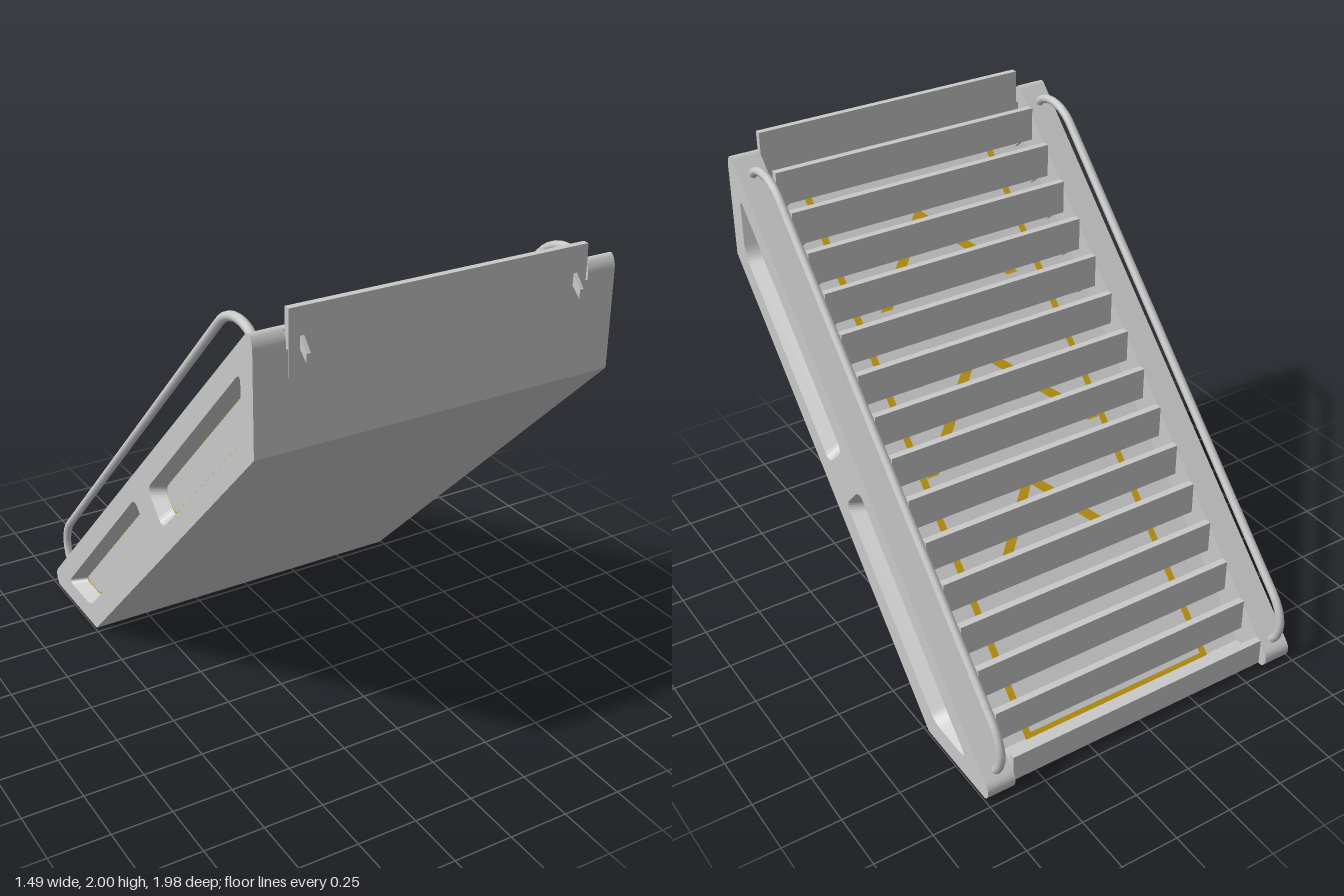
import * as THREE from 'three';

const grey = new THREE.MeshStandardMaterial({ color: 0xc9c9c9 });
grey.name = 'metal grey';
const yellow = new THREE.MeshStandardMaterial({ color: 0xc49a10 });
yellow.name = 'marking yellow';

// Polygon [z, y] inset by d (counter-clockwise corners)
function inset(poly, d) {
  const n = poly.length;
  const edge = (i) => {
    const [a, b] = [poly[i % n], poly[(i + 1) % n]];
    const l = Math.hypot(b[0] - a[0], b[1] - a[1]);
    const t = [(b[0] - a[0]) / l, (b[1] - a[1]) / l];
    return { p: [a[0] - t[1] * d, a[1] + t[0] * d], t };
  };
  return poly.map((_, i) => {
    const e = edge(i + n - 1), f = edge(i);
    const cross = e.t[0] * f.t[1] - e.t[1] * f.t[0];
    const k = ((f.p[0] - e.p[0]) * f.t[1] - (f.p[1] - e.p[1]) * f.t[0]) / cross;
    return [e.p[0] + e.t[0] * k, e.p[1] + e.t[1] * k];
  });
}

// Polygon corners rounded by r (one radius, or one per corner) into a list of points
function rounded(poly, r, steps = 6) {
  const n = poly.length, out = [];
  poly.forEach((p, i) => {
    const c = new THREE.Vector2(...p), rad = Array.isArray(r) ? r[i] : r;
    if (!rad) { out.push(c); return; }
    const toward = (q) => new THREE.Vector2(...q).sub(c).setLength(rad).add(c);
    const a = toward(poly[(i + n - 1) % n]), b = toward(poly[(i + 1) % n]);
    out.push(...new THREE.QuadraticBezierCurve(a, c, b).getPoints(steps));
  });
  return out;
}

const shapeOf = (pts, holes = []) => {
  const s = new THREE.Shape(pts);
  s.holes = holes.map((h) => new THREE.Path(h));
  return s;
};

// Side profile in (z, y), extruded from x towards -x
function extrudeSide(shape, x, depth) {
  return new THREE.ExtrudeGeometry(shape, { depth, bevelEnabled: false })
    .rotateY(-Math.PI / 2).translate(x, 0, 0);
}

function mirrorX(geo) {
  const g = geo.index ? geo.toNonIndexed() : geo.clone();
  g.scale(-1, 1, 1);
  for (const name of ['position', 'normal']) {
    const a = g.attributes[name].array;
    for (let i = 0; i < a.length; i += 9)
      for (let k = 0; k < 3; k++) [a[i + 3 + k], a[i + 6 + k]] = [a[i + 6 + k], a[i + 3 + k]];
  }
  return g;
}

// Sloped wall from a window's rim to its recessed panel
function recessWall(rim, floor, x0, x1) {
  const pos = [], n = rim.length;
  const add = (x, p) => pos.push(x, p.y, p.x);
  for (let i = 0; i < n; i++) {
    const j = (i + 1) % n;
    add(x0, rim[i]); add(x0, rim[j]); add(x1, floor[i]);
    add(x0, rim[j]); add(x1, floor[j]); add(x1, floor[i]);
  }
  const g = new THREE.BufferGeometry();
  g.setAttribute('position', new THREE.Float32BufferAttribute(pos, 3));
  g.computeVertexNormals();
  return g;
}

// Flat marking given in plan (x, z), laid onto the sloping floor
const FLOOR = 0.81;
function floorMark(pts, hole) {
  const flip = (l) => l.map(([x, z]) => new THREE.Vector2(x, -z));
  const g = new THREE.ShapeGeometry(shapeOf(flip(pts), hole ? [flip(hole)] : [])).rotateX(-Math.PI / 2);
  const p = g.attributes.position;
  for (let i = 0; i < p.count; i++) p.setY(i, p.getZ(i) + FLOOR + 0.006);
  g.computeVertexNormals();
  return g;
}

export function createModel() {
  const model = new THREE.Group();
  model.name = 'rampStair';
  const add = (name, geo, mat = grey) => {
    const m = new THREE.Mesh(geo, mat);
    m.name = name;
    model.add(m);
  };
  const addPair = (name, geo, mat) => {
    add(name + 'Right', geo, mat);
    add(name + 'Left', mirrorX(geo), mat);
  };

  // Side stringers with two recessed windows each
  const profile = rounded(
    [[0.95, 1.49], [0.95, 1.9], [0.925, 1.945], [-0.985, 0.055], [-0.96, 0], [-0.53, 0]],
    [0, 0.02, 0.03, 0.04, 0.02, 0]);
  const windows = [
    [[0.865, 1.52], [0.865, 1.775], [0.09, 0.99], [0.21, 0.87]],
    [[0.08, 0.75], [-0.04, 0.88], [-0.82, 0.09], [-0.58, 0.09]],
  ];
  const rims = windows.map((w) => rounded(w, 0.045));
  addPair('stringerCore', extrudeSide(shapeOf(profile), -0.62, 0.063));
  addPair('stringerFrame', extrudeSide(shapeOf(profile, rims), -0.683, 0.06));
  windows.forEach((w, i) => {
    const ring = (d) => rounded(inset(w, d), 0.04);
    addPair('windowRecess' + i, recessWall(rims[i], ring(0.026), -0.743, -0.683));
    // Thin outline, widest along the lower edge
    const inner = ring(0.03).map((p) => new THREE.Vector2(p.x - 0.002, p.y + 0.002));
    const line = new THREE.ShapeGeometry(shapeOf(ring(0.026), [inner]));
    addPair('windowOutline' + i, line.rotateY(-Math.PI / 2).translate(-0.686, 0, 0), yellow);
  });

  // Sloping floor with the front wall at its top end
  const floor = [[0.95, 1.49], [0.95, 1.86], [0.925, 1.86], [0.925, 0.925 + FLOOR],
    [0.02 - FLOOR, 0.02], [-0.93, 0.02], [-0.93, 0], [-0.53, 0]];
  add('floor', extrudeSide(shapeOf(rounded(floor, 0)), 0.62, 1.24));

  // Floor markings
  const box = (x, z0, z1) => [[-x, z0], [x, z0], [x, z1], [-x, z1]];
  add('floorBorder', floorMark(box(0.455, -0.8, 0.91), box(0.425, -0.782, 0.892)), yellow);
  for (const [w, z0, z1] of [[0.335, -0.375, -0.09], [0.425, -0.015, 0.325], [0.335, 0.485, 0.76]]) {
    add('chevron', floorMark([[-w, z0], [-w + 0.055, z0], [0, z1 - 0.044],
      [w - 0.055, z0], [w, z0], [0, z1]]), yellow);
  }

  // Upright step boards with small hooks at their lower edges
  const hook = shapeOf(rounded([[-0.01, 0.03], [-0.01, -0.02], [0.042, -0.065], [0.042, -0.03]], 0));
  for (let i = 0; i < 16; i++) {
    const last = i === 15, z = -0.93 + i * 0.1243;
    const top = last ? 2 : z + 1.065;
    const h = last ? 0.24 : i === 0 ? 0.12 : 0.145;
    const zc = last ? 0.9375 : z;
    add('stepBoard', new THREE.BoxGeometry(1.22, h, last ? 0.027 : 0.03).translate(0, top - h / 2, zc));
    if (i === 0) continue;
    for (const x of [-0.56, 0.56])
      add('stepHook', extrudeSide(hook, x + 0.008, 0.016)
        .translate(0, z + 0.945, last ? 0.9505 : z - 0.004));
  }

  // Bent handrails
  const rail = new THREE.CurvePath();
  const v = (z, y) => new THREE.Vector3(-0.683, y, z);
  rail.add(new THREE.CubicBezierCurve3(v(0.86, 1.85), v(0.85, 1.91), v(0.7, 1.95), v(0.6, 1.84)));
  rail.add(new THREE.LineCurve3(v(0.6, 1.84), v(-0.9, 0.34)));
  rail.add(new THREE.CubicBezierCurve3(v(-0.9, 0.34), v(-0.99, 0.255), v(-0.99, 0.15), v(-0.92, 0.09)));
  addPair('handrail', new THREE.TubeGeometry(rail, 80, 0.018, 10, false));

  return model;
}
